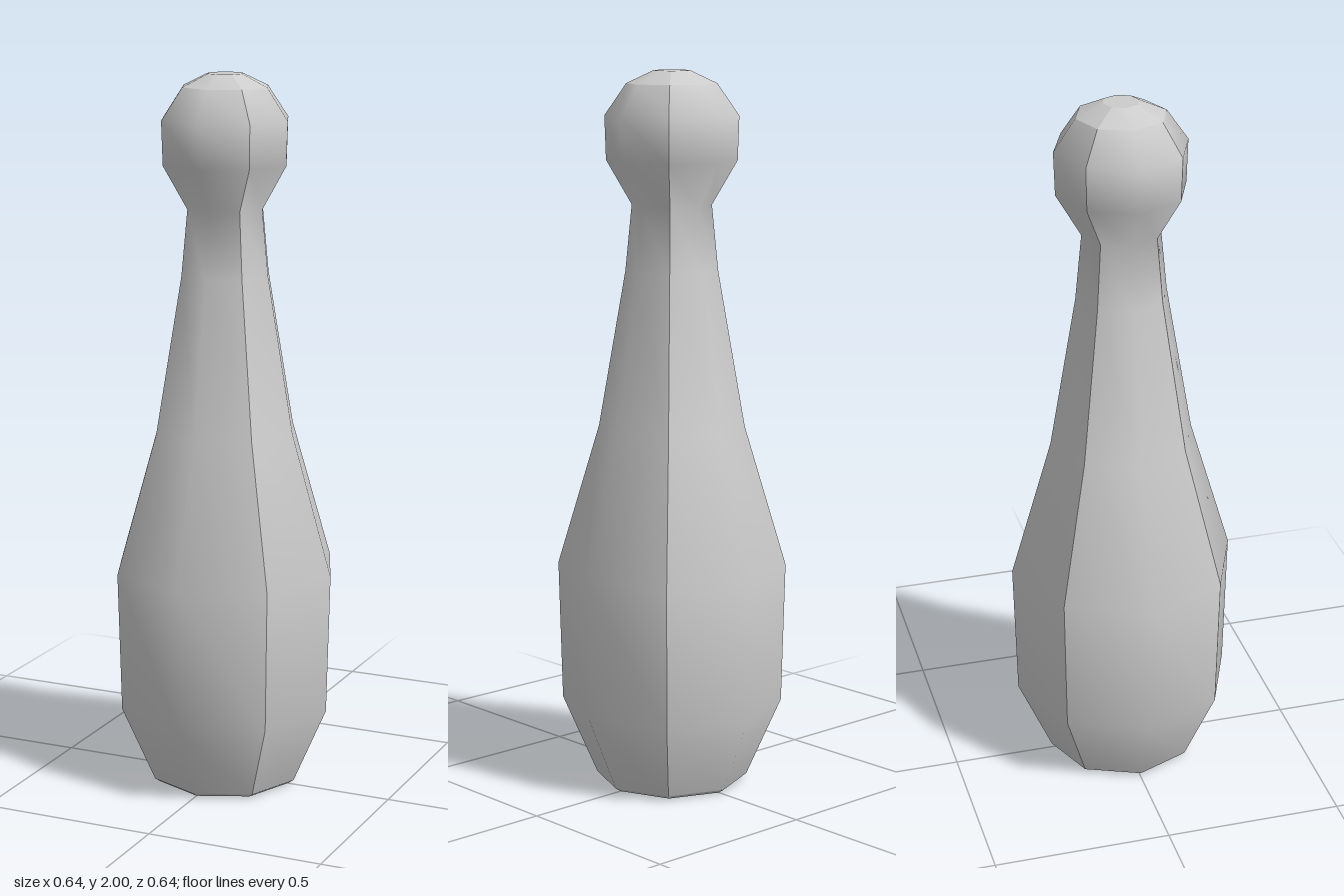
import * as THREE from 'three';

const material = new THREE.MeshStandardMaterial({ color: 0xcccccc });

// Eight-sided ring of surface made of four panels, each smooth in itself and creased at the diagonals
function addBand(group, name, profile) {
  const points = profile.map(([r, y]) => new THREE.Vector2(r, y));
  const band = new THREE.Group();
  band.name = name;
  for (let i = 0; i < 4; i++) {
    const geometry = new THREE.LatheGeometry(points, 2, -Math.PI / 4 + i * Math.PI / 2, Math.PI / 2);
    geometry.computeVertexNormals();
    const panel = new THREE.Mesh(geometry, material);
    panel.name = name + 'Panel';
    band.add(panel);
  }
  group.add(band);
}

// Flat octagon closing an end; facing is -1 for up, 1 for down
function addDisc(group, name, radius, y, facing) {
  const disc = new THREE.Mesh(new THREE.CircleGeometry(radius, 8), material);
  disc.name = name;
  disc.rotation.x = facing * Math.PI / 2;
  disc.position.y = y;
  group.add(disc);
}

export function createModel() {
  const pin = new THREE.Group();
  pin.name = 'bowlingPin';

  // Base with a narrow bevel
  addDisc(pin, 'baseDisc', 0.195, 0, 1);
  addBand(pin, 'baseBevel', [[0.195, 0], [0.213, 0.012]]);

  // Belly, neck and head in one smooth profile
  addBand(pin, 'body', [
    [0.213, 0.012], [0.31, 0.233], [0.32, 0.626], [0.203, 1.02], [0.128, 1.453],
    [0.11, 1.636], [0.18, 1.757], [0.184, 1.878], [0.124, 1.965],
  ]);

  // Faceted crown
  addBand(pin, 'crown', [[0.124, 1.965], [0.05, 2]]);
  addDisc(pin, 'crownDisc', 0.05, 2, -1);

  return pin;
}
